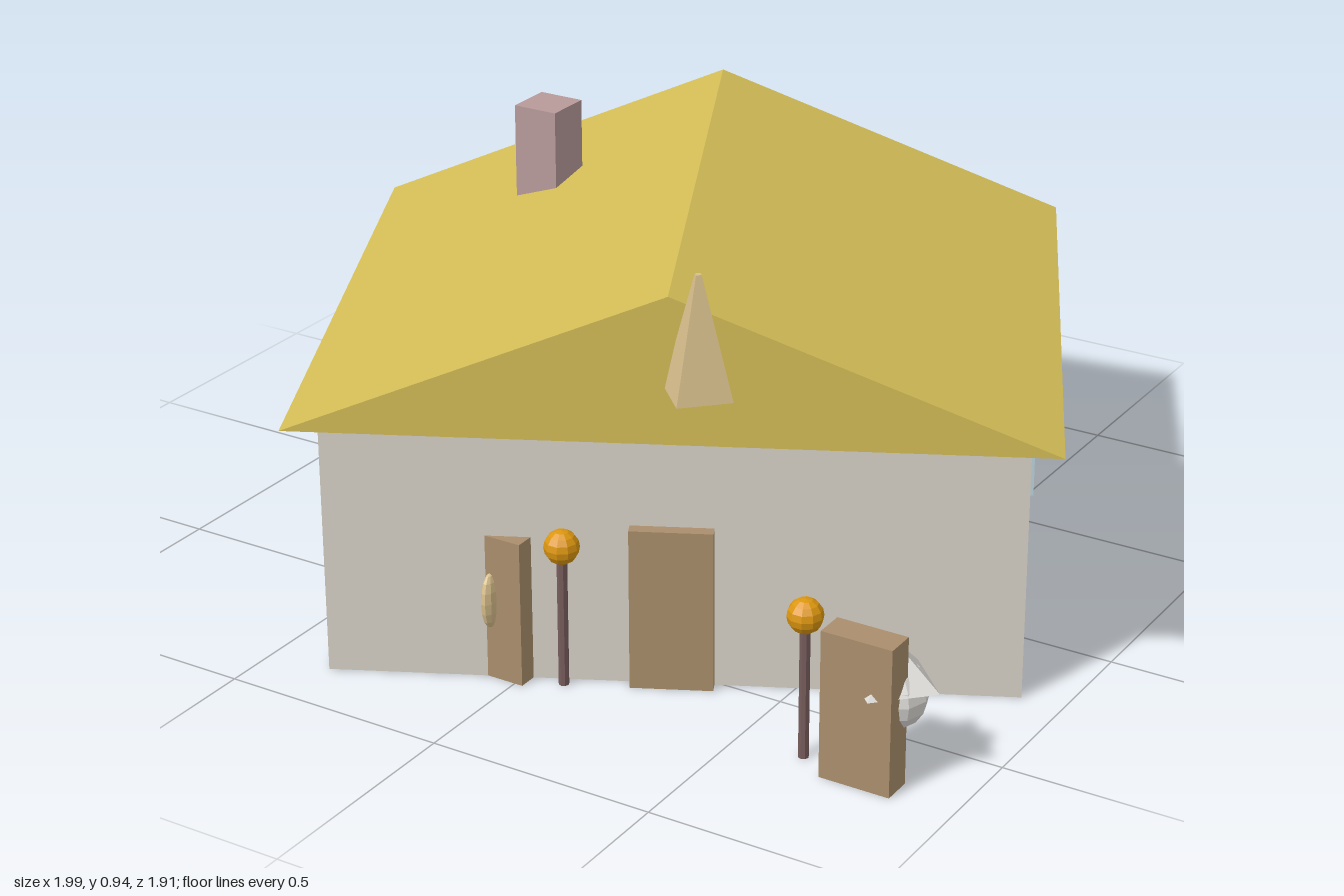
import * as THREE from 'three';

function mat(name, color) {
  const m = new THREE.MeshStandardMaterial({ color, flatShading: true });
  m.name = name;
  return m;
}

export function createModel() {
  const M = {
    wall: mat('plaster', 0xd6d1c7),
    roof: mat('thatch', 0xd3bc56),
    wood: mat('wood', 0xaa8e6c),
    glass: mat('glass', 0xbcd3db),
    brick: mat('brick', 0xb89a9a),
    post: mat('post metal', 0x765c5c),
    lamp: mat('lamp amber', 0xdc960f),
    straw: mat('straw', 0xd8bf8c),
    stone: mat('pale stone', 0xdedcd8),
  };
  const model = new THREE.Group();
  model.name = 'cottage';

  const add = (parent, name, geo, material, x, y, z) => {
    const mesh = new THREE.Mesh(geo, material);
    mesh.name = name;
    mesh.position.set(x, y, z);
    parent.add(mesh);
    return mesh;
  };
  const box = (w, h, d) => new THREE.BoxGeometry(w, h, d);

  // House turned on its plot
  const house = new THREE.Group();
  house.name = 'house';
  house.rotation.y = Math.atan(0.5);
  model.add(house);

  add(house, 'walls', box(1.418, 0.57, 1.225), M.wall, 0, 0.285, 0);
  add(house, 'door', box(0.171, 0.355, 0.027), M.wood, 0, 0.1775, 0.626);
  for (const s of [-1, 1]) {
    add(house, s < 0 ? 'rightWindow' : 'leftWindow', box(0.02, 0.17, 0.172), M.glass, s * 0.719, 0.285, 0);
  }

  // Solid gable roof with overhang
  const gable = new THREE.Shape();
  gable.moveTo(-0.772, 0);
  gable.lineTo(0.772, 0);
  gable.lineTo(0, 0.313);
  gable.closePath();
  const roofGeo = new THREE.ExtrudeGeometry(gable, { depth: 1.368, bevelEnabled: false });
  add(house, 'roof', roofGeo, M.roof, 0, 0.569, -0.684);

  // Chimney and straw spire
  add(model, 'chimney', box(0.105, 0.27, 0.105), M.brick, -0.458, 0.785, -0.12);
  add(model, 'spire', new THREE.CylinderGeometry(0.008, 0.08, 0.25, 4), M.straw, 0.37, 0.815, 0.605);

  // Gate panels and lamp posts either side of the entrance
  for (const s of [-1, 1]) {
    const side = s < 0 ? 'right' : 'left';
    add(model, side + 'GatePanel', box(0.155, 0.32, 0.065), M.wood, 0.365 + s * 0.424, 0.16, 0.685);
    const x = 0.367 + s * 0.281;
    add(model, side + 'LampPost', new THREE.CylinderGeometry(0.011, 0.011, 0.29, 8), M.post, x, 0.145, 0.665);
    add(model, side + 'Lamp', new THREE.SphereGeometry(0.037, 10, 8), M.lamp, x, 0.312, 0.665);
  }

  // Oval straw handle on one panel
  const handle = add(model, 'ovalHandle', new THREE.SphereGeometry(1, 10, 8), M.straw, -0.055, 0.176, 0.715);
  handle.scale.set(0.016, 0.062, 0.03);

  // Capped stone ball behind the other panel
  add(model, 'stoneBall', new THREE.SphereGeometry(0.074, 10, 8), M.stone, 0.823, 0.18, 0.632);
  add(model, 'stoneCap', new THREE.ConeGeometry(0.102, 0.09, 4), M.stone, 0.823, 0.247, 0.63);

  return model;
}
